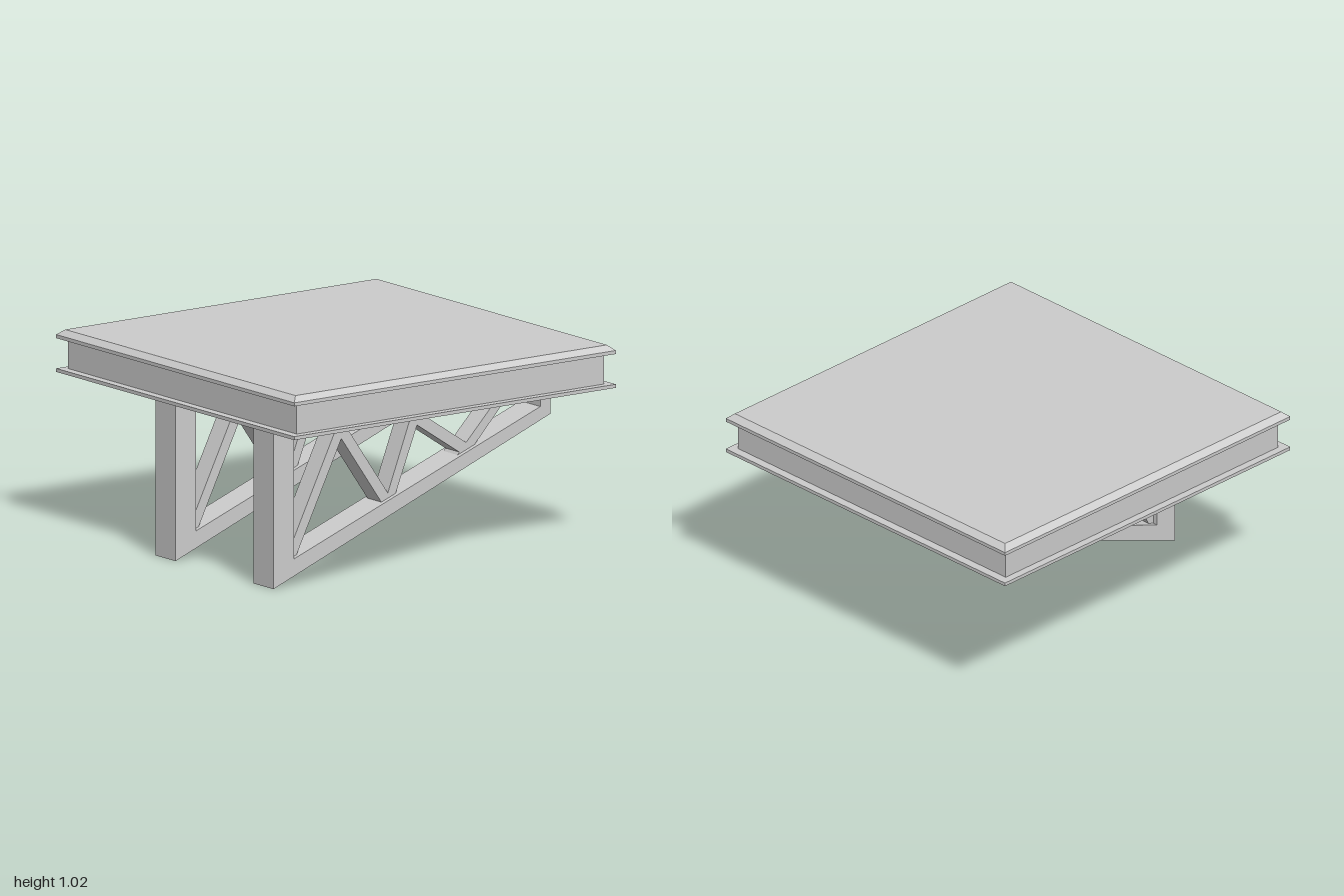
import * as THREE from 'three';

const material = new THREE.MeshStandardMaterial({ color: 0xcccccc, flatShading: true });

function mesh(name, geometry) {
  const m = new THREE.Mesh(geometry, material);
  m.name = name;
  return m;
}

// Box spanning y0..y1; its top face can be drawn in to make a bevel
function slab(name, width, depth, y0, y1, inset = 0) {
  const g = new THREE.BoxGeometry(width, y1 - y0, depth);
  const p = g.attributes.position;
  for (let i = 0; i < p.count; i++) {
    if (p.getY(i) > 0) {
      p.setX(i, p.getX(i) - Math.sign(p.getX(i)) * inset);
      p.setZ(i, p.getZ(i) - Math.sign(p.getZ(i)) * inset);
    }
  }
  g.translate(0, (y0 + y1) / 2, 0);
  g.computeVertexNormals();
  return mesh(name, g);
}

const points = (list) => list.map(([x, y]) => new THREE.Vector2(x, y));

// Extrusion centred on z = 0
function plate(name, shape, depth) {
  const g = new THREE.ExtrudeGeometry(shape, { depth, bevelEnabled: false });
  g.translate(0, 0, -depth / 2);
  return mesh(name, g);
}

function createBracket() {
  const bracket = new THREE.Group();
  bracket.name = 'bracket';

  // Post, top rail, end block and sloping chord as one frame
  const frame = new THREE.Shape(points([[-0.968, 0], [0.754, 0.663], [0.754, 0.8], [-0.968, 0.8]]));
  frame.holes.push(new THREE.Path(points([[-0.84, 0.137], [-0.84, 0.76], [0.692, 0.76], [0.692, 0.708]])));
  bracket.add(plate('bracketFrame', frame, 0.165));

  // Zigzag bracing, with its feet sunk into the frame
  const zigzag = new THREE.Shape(points([
    [-0.84, 0.2], [-0.559, 0.76], [-0.497, 0.76], [-0.238, 0.388], [-0.094, 0.76], [-0.024, 0.76],
    [0.249, 0.58], [0.425, 0.76], [0.489, 0.76], [0.29, 0.55], [0.19, 0.515], [0.206, 0.537],
    [-0.056, 0.709], [-0.197, 0.36], [-0.27, 0.335], [-0.527, 0.703], [-0.81, 0.14], [-0.84, 0.125],
  ]));
  bracket.add(plate('diagonalBraces', zigzag, 0.115));
  return bracket;
}

export function createModel() {
  const model = new THREE.Group();
  model.name = 'bracketedPlatform';

  // Deck: flange, recessed core, flange and bevelled top
  const deck = new THREE.Group();
  deck.name = 'deck';
  deck.add(
    slab('lowerFlange', 2, 1.965, 0.8, 0.818),
    slab('deckCore', 1.91, 1.885, 0.818, 0.972),
    slab('upperFlange', 2, 1.965, 0.972, 0.99),
    slab('bevelledTop', 2, 1.965, 0.99, 1.017, 0.032),
  );
  model.add(deck);

  // Two matching brackets
  for (const z of [0.686, -0.122]) {
    const bracket = createBracket();
    bracket.position.z = z;
    model.add(bracket);
  }
  return model;
}
